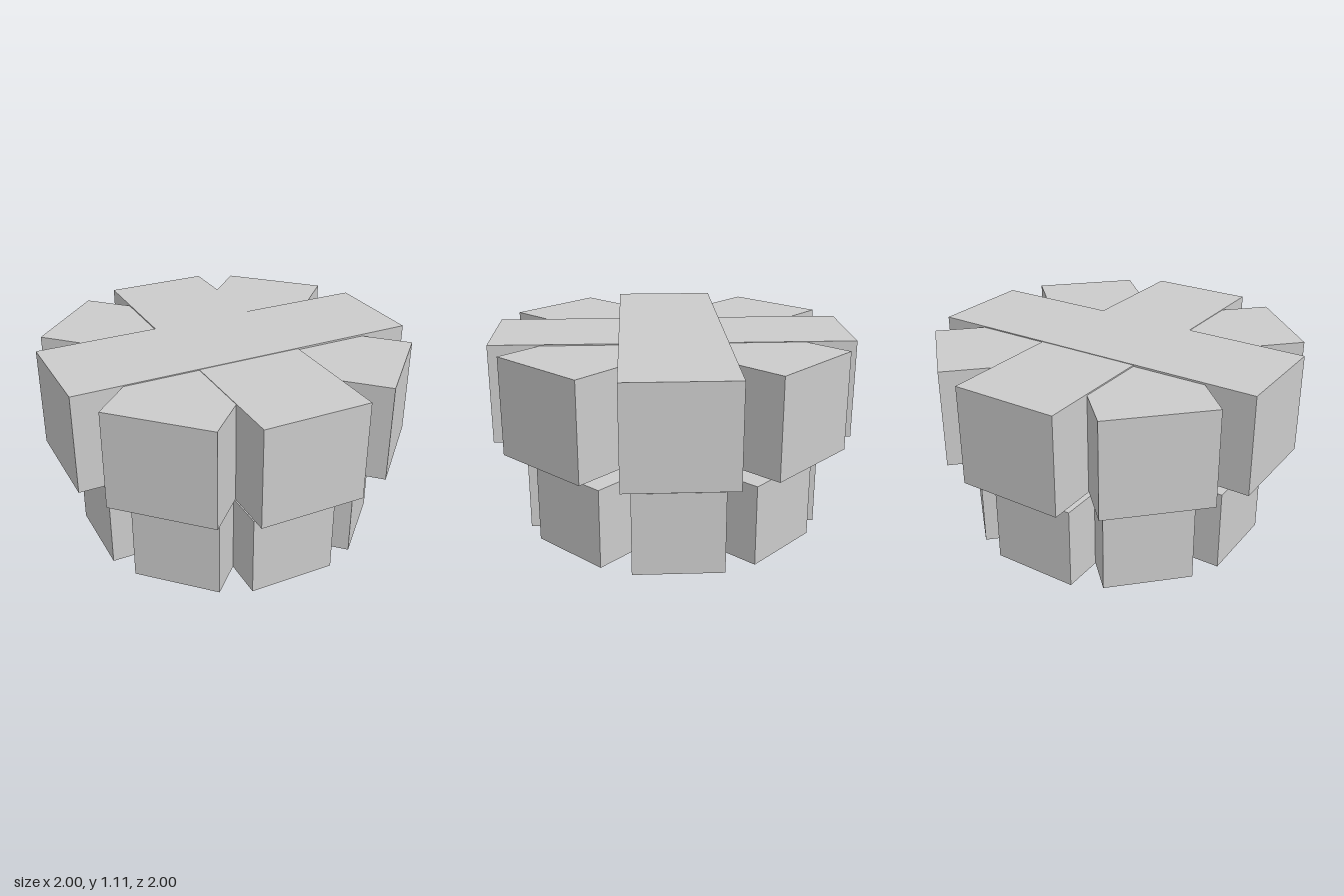
import * as THREE from 'three';

const material = new THREE.MeshStandardMaterial({ color: 0xcccccc, flatShading: true });

// Crossed bars of one tier: name, turn about y, and how far top and bottom are set in
const BARS = [
  ['crossBar', 0, 0],
  ['depthBar', Math.PI / 2, 0.003],
  ['diagonalBarA', Math.PI / 4, 0.006],
  ['diagonalBarB', -Math.PI / 4, 0.01],
];

// Star-shaped tier of four long boxes crossing at the centre
function makeTier(name, scale, bottom) {
  const tier = new THREE.Group();
  tier.name = name;
  const height = 0.563 * scale;
  for (const [barName, turn, inset] of BARS) {
    const geometry = new THREE.BoxGeometry(2 * scale, height - 2 * inset * scale, 0.596 * scale);
    const bar = new THREE.Mesh(geometry, material);
    bar.name = barName;
    bar.rotation.y = turn;
    bar.position.y = bottom + height / 2;
    tier.add(bar);
  }
  return tier;
}

export function createModel() {
  const model = new THREE.Group();
  model.name = 'stackedStarBlocks';
  model.add(makeTier('lowerTier', 0.826, 0));
  model.add(makeTier('upperTier', 1, 0.547));
  return model;
}
